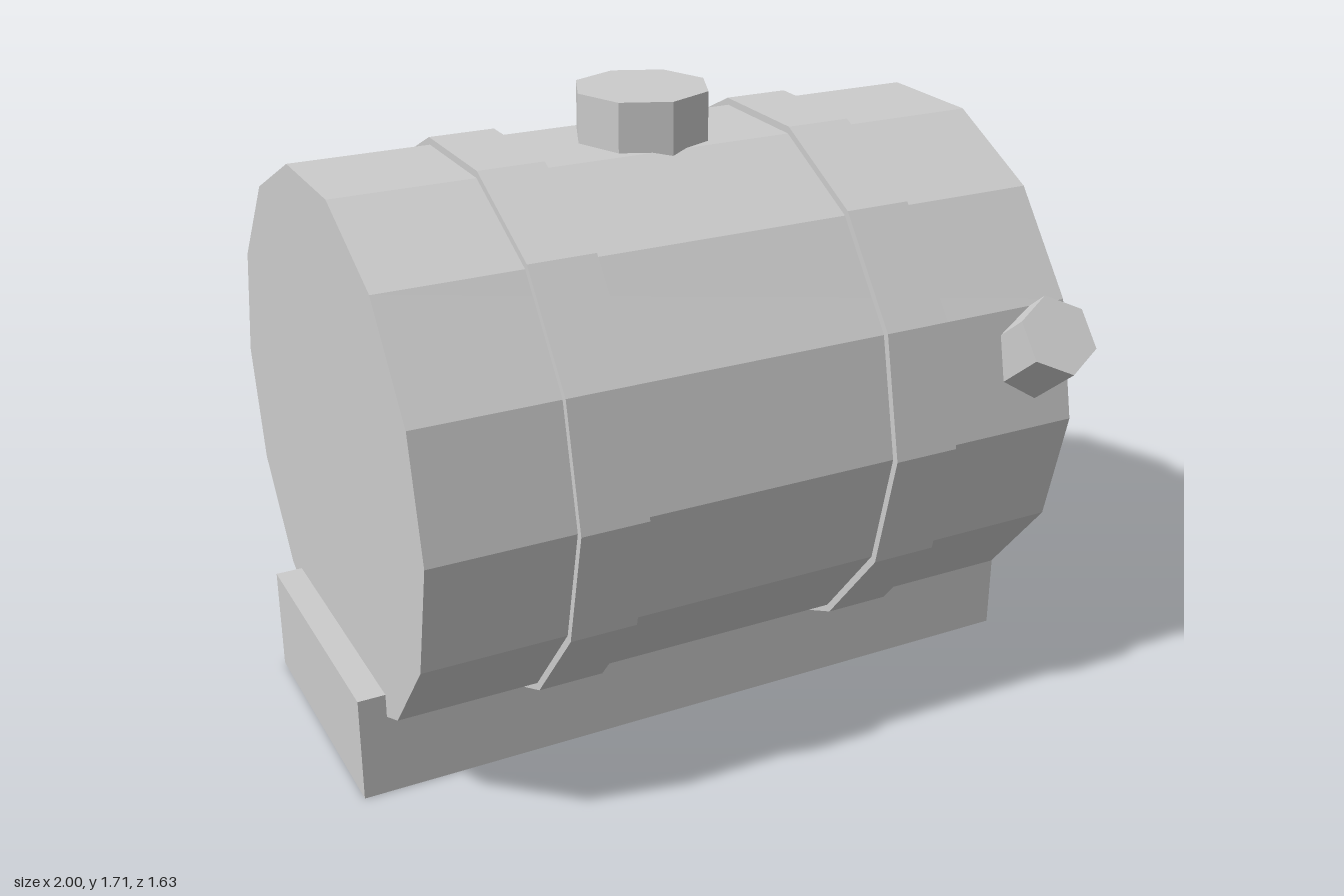
import * as THREE from 'three';

export function createModel() {
  const group = new THREE.Group();
  const material = new THREE.MeshStandardMaterial({ color: 0xcccccc, flatShading: true });
  const axisY = 0.855, axisZ = -0.055;

  const add = (name, geometry, x, y, z) => {
    const mesh = new THREE.Mesh(geometry, material);
    mesh.name = name;
    mesh.position.set(x, y, z);
    group.add(mesh);
    return mesh;
  };
  // Fourteen-sided drum lying along x
  const drum = (radius, length) =>
    new THREE.CylinderGeometry(radius, radius, length, 14).rotateZ(Math.PI / 2);

  // Plinth the barrel rests in
  add('base', new THREE.BoxGeometry(2, 0.3, 0.74), 0, 0.15, axisZ);

  // Barrel and its two raised hoops
  add('barrel', drum(0.74, 1.85), 0, axisY, axisZ);
  for (const side of [-1, 1]) {
    add(side > 0 ? 'leftHoop' : 'rightHoop', drum(0.76, 0.183), side * 0.447, axisY, axisZ);
  }

  // Octagonal filler cap on top
  add('fillerCap', new THREE.CylinderGeometry(0.185, 0.185, 0.17, 8), 0, 1.625, axisZ);

  // Hexagonal spout on the front, tilted upward; outer face centred at its origin
  const spout = new THREE.CylinderGeometry(0.112, 0.112, 0.3, 6).translate(0, -0.15, 0);
  add('spout', spout, 0.813, 1.14, 0.743).rotation.x = THREE.MathUtils.degToRad(50);

  return group;
}
